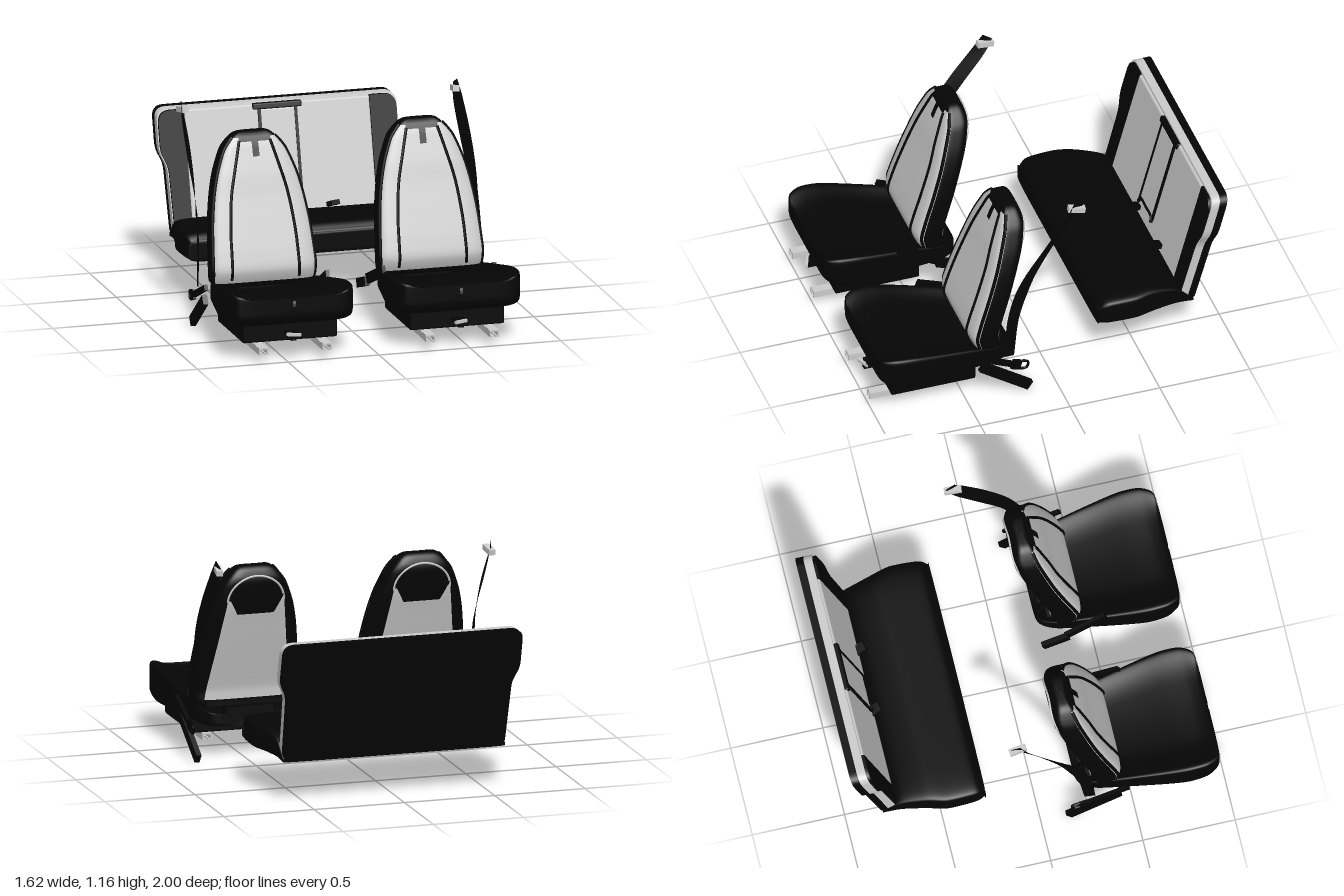
import * as THREE from 'three';
import { ParametricGeometry } from 'three/addons/geometries/ParametricGeometry.js';
import { RoundedBoxGeometry } from 'three/addons/geometries/RoundedBoxGeometry.js';

const V = (x, y, z) => new THREE.Vector3(x, y, z);
const grey = new THREE.MeshStandardMaterial({ color: 0xcccccc, side: THREE.DoubleSide });
const black = new THREE.MeshStandardMaterial({ color: 0x050505, side: THREE.DoubleSide });

function add(parent, name, geo, mat, x = 0, y = 0, z = 0) {
  const m = new THREE.Mesh(geo, mat);
  m.name = name;
  m.position.set(x, y, z);
  parent.add(m);
  return m;
}

// Box running from a to b
function bar(parent, name, a, b, w, h, mat) {
  const m = add(parent, name, new THREE.BoxGeometry(w, h, a.distanceTo(b)), mat);
  m.position.copy(a).lerp(b, 0.5);
  m.lookAt(b);
}

function tube(parent, name, pts, r, mat, closed = false) {
  const curve = new THREE.CatmullRomCurve3(pts, closed);
  add(parent, name, new THREE.TubeGeometry(curve, 48, r, 6, closed), mat);
}

// Squared-oval sections; rows are [position, half width, high edge, low edge]
function body(rows, p, upright, dish) {
  const spline = (f) => new THREE.CatmullRomCurve3(rows.map(f), false, 'catmullrom', 0.4);
  const widths = spline((r) => V(r[0], r[1], 0));
  const edges = spline((r) => V(r[0], r[2], r[3]));
  const read = (t) => {
    const a = widths.getPoint(t), b = edges.getPoint(t);
    return { s: a.x, w: Math.max(a.y, 0.003), mid: (b.y + b.z) / 2, d: (b.y - b.z) / 2 };
  };
  const place = (q, x, h) => {
    const k = Math.min(1, Math.abs(x / q.w));
    const hh = q.mid + h - (h > 0 ? dish * (h / q.d) * (1 - k ** 4) : 0);
    return upright ? V(x, q.s, hh) : V(x, hh, q.s);
  };
  const spow = (v) => Math.sign(v) * Math.abs(v) ** p;
  const ring = (t, a) => {
    const q = read(t);
    return place(q, q.w * spow(Math.sin(a)), q.d * spow(Math.cos(a)));
  };
  // Point on the front (side 1) or back (side -1) at a given x
  const at = (t, x, side, off = 0) => {
    const q = read(t);
    const k = Math.min(1, Math.abs(x / q.w));
    return place(q, x, side * (q.d * (1 - k ** (2 / p)) ** (p / 2) + off));
  };
  const tOf = (s) => {
    let lo = 0, hi = 1;
    for (let i = 0; i < 30; i++) {
      const m = (lo + hi) / 2;
      if (read(m).s < s) lo = m; else hi = m;
    }
    return lo;
  };
  const skin = (a0, a1, t0, t1, nu = 64, nv = 40) => new ParametricGeometry((u, v, o) =>
    o.copy(ring(t0 + (t1 - t0) * v, a0 + (a1 - a0) * u)), nu, nv);
  const panel = (s0, s1, w0, w1, side, off) => new ParametricGeometry((u, v, o) =>
    o.copy(at(tOf(s0 + (s1 - s0) * v), side * (2 * u - 1) * (w0 + (w1 - w0) * v), side, off)), 16, 16);
  return { ring, at, tOf, skin, panel };
}

// One front seat; +x is the door side
function frontSeat() {
  const g = new THREE.Group();
  const cushion = body([
    [0.98, 0.01, 0.36, 0.29], [0.978, 0.24, 0.37, 0.25], [0.965, 0.31, 0.395, 0.225],
    [0.9, 0.345, 0.412, 0.19], [0.8, 0.35, 0.408, 0.17], [0.68, 0.335, 0.385, 0.17],
    [0.45, 0.295, 0.335, 0.175], [0.3, 0.26, 0.29, 0.17], [0.22, 0.2, 0.265, 0.18], [0.215, 0.01, 0.26, 0.19],
  ], 0.3, false, 0.065);
  add(g, 'seatCushion', cushion.skin(-Math.PI, Math.PI, 0, 1, 96, 50), black);
  add(g, 'seatBase', new RoundedBoxGeometry(0.52, 0.13, 0.47, 2, 0.01), black, 0, 0.163, 0.665);

  // Backrest: black shell with a light padded front
  const back = body([
    [0.262, 0.02, 0.37, 0.34], [0.275, 0.26, 0.43, 0.29], [0.36, 0.287, 0.467, 0.283],
    [0.45, 0.284, 0.448, 0.257], [0.6, 0.272, 0.398, 0.21], [0.74, 0.25, 0.35, 0.168],
    [0.85, 0.222, 0.315, 0.135], [0.957, 0.18, 0.275, 0.115], [1.0, 0.152, 0.258, 0.115],
    [1.04, 0.115, 0.237, 0.13], [1.058, 0.08, 0.215, 0.15], [1.062, 0.004, 0.19, 0.18],
  ], 0.5, true, 0.012);
  const a0 = 1.37, t0 = back.tOf(0.3), t1 = back.tOf(1.035);
  add(g, 'backrestPadding', back.skin(-a0, a0, t0, t1), grey);
  add(g, 'backrestShell', back.skin(a0, 2 * Math.PI - a0, 0, 1), black);
  add(g, 'backrestTop', back.skin(-a0, a0, t1, 1, 48, 8), black);
  add(g, 'backrestBottom', back.skin(-a0, a0, 0, t0, 48, 8), black);
  const steps = [...Array(25).keys()].map((i) => i / 24);
  const seam = new THREE.SplineCurve([[0.185, 0.32], [0.182, 0.45], [0.176, 0.58], [0.155, 0.75],
    [0.118, 0.9], [0.085, 1.02]].map((c) => new THREE.Vector2(...c)));
  for (const s of [-1, 1]) {
    tube(g, 'edgePiping', steps.map((k) => back.ring(t0 + (t1 - t0) * k, s * a0 * 0.9)), 0.009, black);
    tube(g, 'frontSeam', steps.map((k) => {
      const c = seam.getPoint(k);
      return back.at(back.tOf(c.y), s * c.x, 1, 0.003);
    }), 0.008, black);
  }
  add(g, 'headPatch', back.panel(1.015, 1.045, 0.09, 0.085, 1, 0.006), black);
  add(g, 'headTab', back.panel(0.94, 1.02, 0.018, 0.018, 1, 0.006), black);
  add(g, 'rearPanel', back.panel(0.31, 0.88, 0.235, 0.155, -1, 0.006), grey);
  add(g, 'rearFlap', back.panel(0.8, 0.9, 0.1, 0.152, -1, 0.01), black);
  tube(g, 'rearPiping', steps.map((k) => back.at(back.tOf(0.87 + 0.14 * Math.sin(Math.PI * k)),
    0.155 * Math.cos(Math.PI * k), -1, 0.003)), 0.006, grey);
  add(g, 'hingeBar', new THREE.BoxGeometry(0.46, 0.025, 0.05), black, 0, 0.29, 0.295);
  add(g, 'hingeBox', new THREE.BoxGeometry(0.26, 0.08, 0.1), black, 0, 0.235, 0.29);

  // Sliding rails (open channel) and the adjusting handle
  for (const x of [-0.175, 0.175]) {
    add(g, 'railTop', new THREE.BoxGeometry(0.05, 0.008, 0.57), grey, x, 0.09, 0.715);
    for (const s of [-1, 1]) {
      add(g, 'railSide', new THREE.BoxGeometry(0.008, 0.035, 0.57), grey, x + s * 0.022, 0.075, 0.715);
      add(g, 'railLip', new THREE.BoxGeometry(0.016, 0.006, 0.57), grey, x + s * 0.016, 0.059, 0.715);
    }
  }
  add(g, 'handleStem', new THREE.BoxGeometry(0.03, 0.012, 0.08), black, 0, 0.12, 0.93);
  add(g, 'handleMount', new THREE.BoxGeometry(0.07, 0.016, 0.07), black, 0, 0.147, 0.925);
  bar(g, 'handleGrip', V(-0.035, 0.147, 0.985), V(0.035, 0.147, 0.955), 0.014, 0.016, grey);

  // Shoulder belt: a ribbon twisting on its way up
  const path = new THREE.CatmullRomCurve3([V(0.295, 1.155, -0.135), V(0.295, 1.08, -0.09), V(0.3, 0.9, 0.04),
    V(0.305, 0.7, 0.165), V(0.31, 0.5, 0.235), V(0.32, 0.25, 0.265)]);
  add(g, 'shoulderBelt', new ParametricGeometry((u, v, o) => {
    const d = path.getTangent(v), twist = 0.15 + 0.45 * Math.sin(Math.PI * Math.min(1, v * 1.5));
    const side = V(0, d.z, -d.y).normalize().multiplyScalar(Math.cos(twist));
    side.x = Math.sin(twist);
    o.copy(path.getPoint(v)).addScaledVector(side, (u - 0.5) * (0.058 + 0.018 * Math.sin(Math.PI * v)));
  }, 2, 40), black);
  bar(g, 'beltGuide', V(0.285, 1.125, -0.075), V(0.295, 1.11, -0.165), 0.035, 0.03, grey);
  bar(g, 'beltRetractor', V(0.325, 0.22, 0.42), V(0.315, 0.03, 0.15), 0.028, 0.055, black);
  bar(g, 'beltAnchor', V(0.335, 0.3, 0.47), V(0.335, 0.2, 0.24), 0.02, 0.03, black);
  bar(g, 'beltTonguePlate', V(0.335, 0.205, 0.255), V(0.335, 0.19, 0.205), 0.016, 0.055, black);
  tube(g, 'beltTongue', [V(0.335, 0.212, 0.21), V(0.335, 0.2, 0.165), V(0.335, 0.165, 0.175),
    V(0.335, 0.172, 0.215)], 0.007, black, true);

  // Buckle on the inner side
  bar(g, 'buckleStalk', V(-0.305, 0.345, 0.57), V(-0.33, 0.245, 0.35), 0.02, 0.055, black);
  bar(g, 'buckle', V(-0.335, 0.235, 0.36), V(-0.34, 0.19, 0.22), 0.028, 0.05, black);
  return g;
}

function rearBench() {
  const g = new THREE.Group();
  const cushion = body([
    [-0.27, 0.01, 0.33, 0.25], [-0.272, 0.62, 0.338, 0.232], [-0.28, 0.655, 0.352, 0.228],
    [-0.33, 0.675, 0.382, 0.226], [-0.48, 0.68, 0.388, 0.226], [-0.58, 0.655, 0.386, 0.226],
    [-0.68, 0.632, 0.36, 0.226], [-0.74, 0.622, 0.33, 0.226], [-0.818, 0.615, 0.25, 0.226],
  ], 0.22, false, 0);
  add(g, 'benchCushion', cushion.skin(-Math.PI, Math.PI, 0, 1, 96, 40), black);

  // Everything on the bench back leans by the same shear
  const lean = new THREE.Matrix4().set(1, 0, 0, 0, 0, 1, 0, 0, 0, -0.27, 1, 0.062, 0, 0, 0, 1);
  const leaning = (name, geo, mat, x = 0, y = 0, z = 0) =>
    add(g, name, geo.translate(x, y, z).applyMatrix4(lean), mat);
  const slab = (shape, depth) => new THREE.ExtrudeGeometry(shape, { depth, bevelEnabled: false, curveSegments: 10 });
  const outline = new THREE.Shape();
  outline.moveTo(-0.57, 0.23).lineTo(0.57, 0.23);
  outline.quadraticCurveTo(0.61, 0.23, 0.612, 0.27);
  outline.lineTo(0.62, 0.56);
  outline.bezierCurveTo(0.62, 0.64, 0.66, 0.64, 0.66, 0.72);
  outline.lineTo(0.66, 0.84).quadraticCurveTo(0.66, 0.9, 0.6, 0.902);
  outline.lineTo(-0.6, 0.902).quadraticCurveTo(-0.66, 0.9, -0.66, 0.84);
  outline.lineTo(-0.66, 0.72).bezierCurveTo(-0.66, 0.64, -0.62, 0.64, -0.62, 0.56);
  outline.lineTo(-0.612, 0.27).quadraticCurveTo(-0.61, 0.23, -0.57, 0.23);
  leaning('benchBackShell', slab(outline, 0.042), black, 0, 0, -0.82);
  leaning('benchBackPadding', slab(outline, 0.045), grey, 0, 0, -0.778);
  leaning('benchFrontPanel', new RoundedBoxGeometry(1.02, 0.58, 0.02, 2, 0.009), grey, 0, 0.6, -0.731);

  // Black side panels follow the outer edge
  for (const s of [-1, 1]) {
    const side = new THREE.Shape();
    side.moveTo(s * 0.51, 0.27).lineTo(s * 0.608, 0.27).lineTo(s * 0.615, 0.56);
    side.bezierCurveTo(s * 0.615, 0.64, s * 0.655, 0.64, s * 0.655, 0.72);
    side.lineTo(s * 0.655, 0.83).quadraticCurveTo(s * 0.652, 0.892, s * 0.59, 0.894);
    side.lineTo(s * 0.51, 0.894);
    leaning('benchSidePanel', slab(side, 0.016), black, 0, 0, -0.734);
    leaning('armrestSeam', new THREE.BoxGeometry(0.016, 0.47, 0.014), black, s * 0.1, 0.635, -0.718);
  }

  // Folding centre section
  leaning('armrestPanel', new RoundedBoxGeometry(0.19, 0.45, 0.018, 2, 0.008), grey, 0, 0.64, -0.722);
  leaning('armrestTopBar', new RoundedBoxGeometry(0.27, 0.032, 0.026, 2, 0.008), black, 0, 0.88, -0.722);
  tube(g, 'armrestLoop', [V(-0.1, 0.385, -0.755), V(-0.085, 0.412, -0.763), V(0, 0.415, -0.764),
    V(0.085, 0.412, -0.763), V(0.1, 0.385, -0.755)], 0.01, black);
  for (const x of [-0.1, 0.25])
    bar(g, 'rearBuckle', V(x, 0.345, -0.78), V(x + 0.02, 0.375, -0.71), 0.05, 0.025, black);
  return g;
}

export function createModel() {
  const model = new THREE.Group();
  for (const s of [1, -1]) {
    const seat = frontSeat();
    seat.name = s > 0 ? 'leftFrontSeat' : 'rightFrontSeat';
    seat.position.x = s * 0.46;
    seat.scale.x = s;
    model.add(seat);
  }
  const bench = rearBench();
  bench.name = 'rearBench';
  model.add(bench);
  return model;
}
